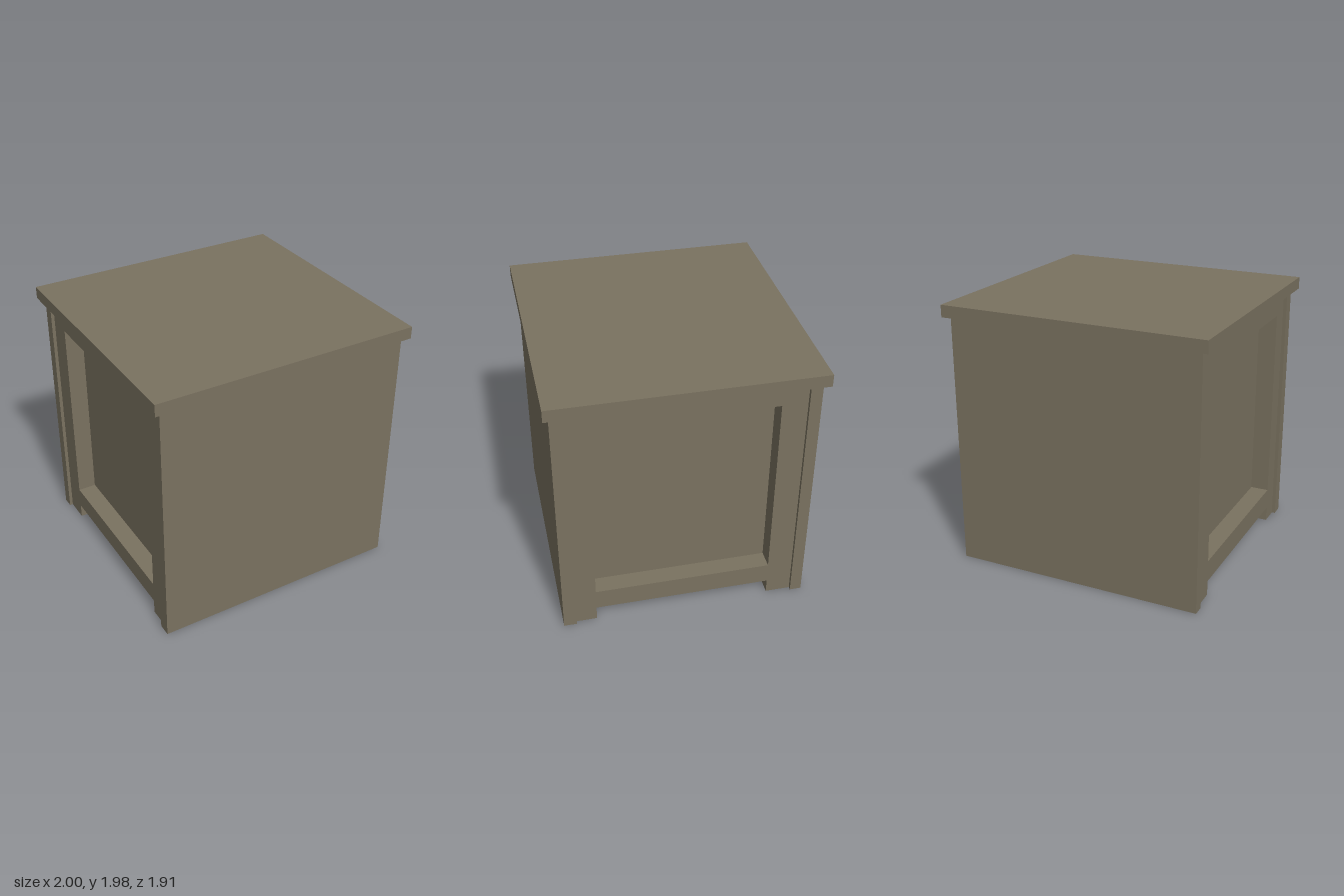
import * as THREE from 'three';

const FRONT = 0.82, BACK = -0.83;            // inner faces of the front and back boards
const FOOT_FRONT = 0.665, FOOT_BACK = -0.645; // inner edges of the feet and panel openings
const UNDER = 1.89, RAIL = 0.11;             // underside of the top, underside of the body
const PANEL_X = 0.787, FRAME_X = 0.925;      // recessed panel and frame faces

// Side outline drawn in (z, y): a block with a gap between the feet
function sideOutline() {
  return new THREE.Shape([
    [BACK, 0], [FOOT_BACK, 0], [FOOT_BACK, RAIL], [FOOT_FRONT, RAIL],
    [FOOT_FRONT, 0], [FRONT, 0], [FRONT, UNDER], [BACK, UNDER],
  ].map(([z, y]) => new THREE.Vector2(-z, y)));
}

// Extrude a side outline along x, from x0 to x1
function extrudeAcross(shape, x0, x1) {
  const geo = new THREE.ExtrudeGeometry(shape, { depth: x1 - x0, bevelEnabled: false });
  geo.rotateY(Math.PI / 2);
  geo.translate(x0, 0, 0);
  return geo;
}

export function createModel() {
  const model = new THREE.Group();
  model.name = 'cabinet';
  const wood = new THREE.MeshStandardMaterial({ color: 0x7a7260 });
  wood.name = 'grey brown wood';

  const add = (name, geo) => {
    const mesh = new THREE.Mesh(geo, wood);
    mesh.name = name;
    model.add(mesh);
    return mesh;
  };
  const board = (name, width, y0, y1, z0, z1) =>
    add(name, new THREE.BoxGeometry(width, y1 - y0, z1 - z0))
      .position.set(0, (y0 + y1) / 2, (z0 + z1) / 2);

  // Overhanging top and the flat front and back boards
  board('top', 2, UNDER, 1.98, -0.955, 0.955);
  board('frontBoard', 1.9, 0, UNDER, FRONT, 0.915);
  board('backBoard', 1.9, 0, UNDER, -0.915, BACK);

  // Body whose sides are the recessed panels, with feet running across
  add('body', extrudeAcross(sideOutline(), -PANEL_X, PANEL_X));

  // Raised frame around each side panel
  const frame = sideOutline();
  frame.holes.push(new THREE.Path([
    [FOOT_BACK, 0.27], [FOOT_BACK, 1.73], [FOOT_FRONT, 1.73], [FOOT_FRONT, 0.27],
  ].map(([z, y]) => new THREE.Vector2(-z, y))));
  add('leftFrame', extrudeAcross(frame, PANEL_X, FRAME_X));
  add('rightFrame', extrudeAcross(frame, -FRAME_X, -PANEL_X));

  return model;
}
